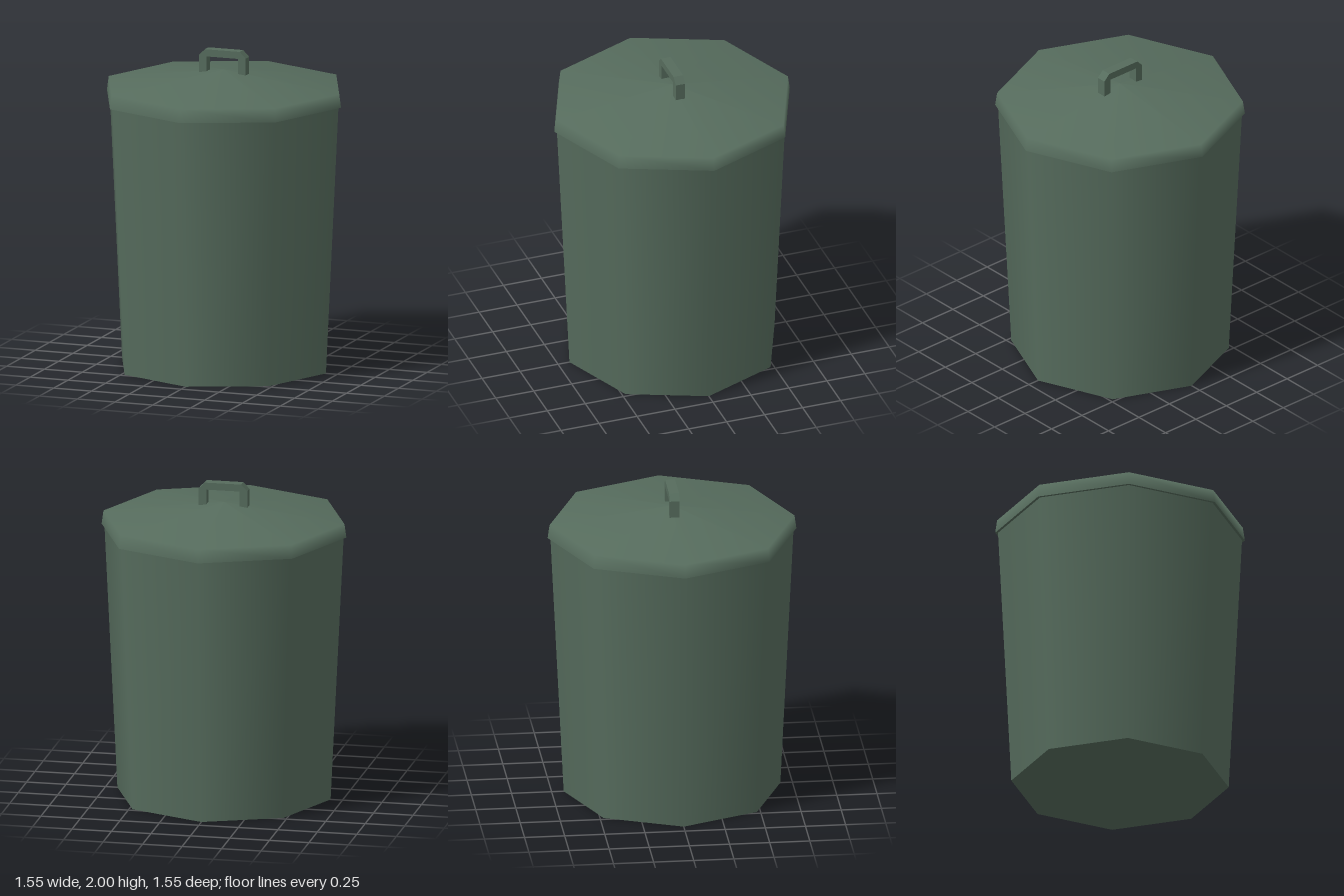
import * as THREE from 'three';

const SIDES = 8;

export function createModel() {
  const green = new THREE.MeshStandardMaterial({ color: 0x566c5d });
  green.name = 'dull green';

  const model = new THREE.Group();
  model.name = 'trashCan';
  const add = (name, geometry, parent = model) => {
    const mesh = new THREE.Mesh(geometry, green);
    mesh.name = name;
    parent.add(mesh);
    return mesh;
  };

  // Tapered eight-sided body with a flat bottom
  const bodyHeight = 1.7;
  add('body', new THREE.CylinderGeometry(0.758, 0.675, bodyHeight, SIDES)).position.y = bodyHeight / 2;

  const lid = new THREE.Group();
  lid.name = 'lid';
  model.add(lid);

  // Lid: sloping rim and shallow cone, smoothly shaded together
  const profile = [[0.775, 1.69], [0.763, 1.775], [0, 1.875]].map(([r, y]) => new THREE.Vector2(r, y));
  add('lidTop', new THREE.LatheGeometry(profile, SIDES), lid);

  // Underside of the lid; turned so its corners meet the rim
  const underside = add('lidUnderside', new THREE.CircleGeometry(0.775, SIDES), lid);
  underside.rotation.x = Math.PI / 2;
  underside.position.y = 1.69;

  // Handle: flat arch with chamfered outer corners
  const arch = new THREE.Shape([
    [-0.155, 1.845], [-0.105, 1.845], [-0.105, 1.955], [0.105, 1.955], [0.105, 1.845],
    [0.155, 1.845], [0.155, 1.96], [0.115, 2], [-0.115, 2], [-0.155, 1.96],
  ].map(([x, y]) => new THREE.Vector2(x, y)));
  const depth = 0.062;
  const handle = new THREE.ExtrudeGeometry(arch, { depth, bevelEnabled: false });
  add('handle', handle.translate(0, 0, -depth / 2), lid);

  return model;
}
